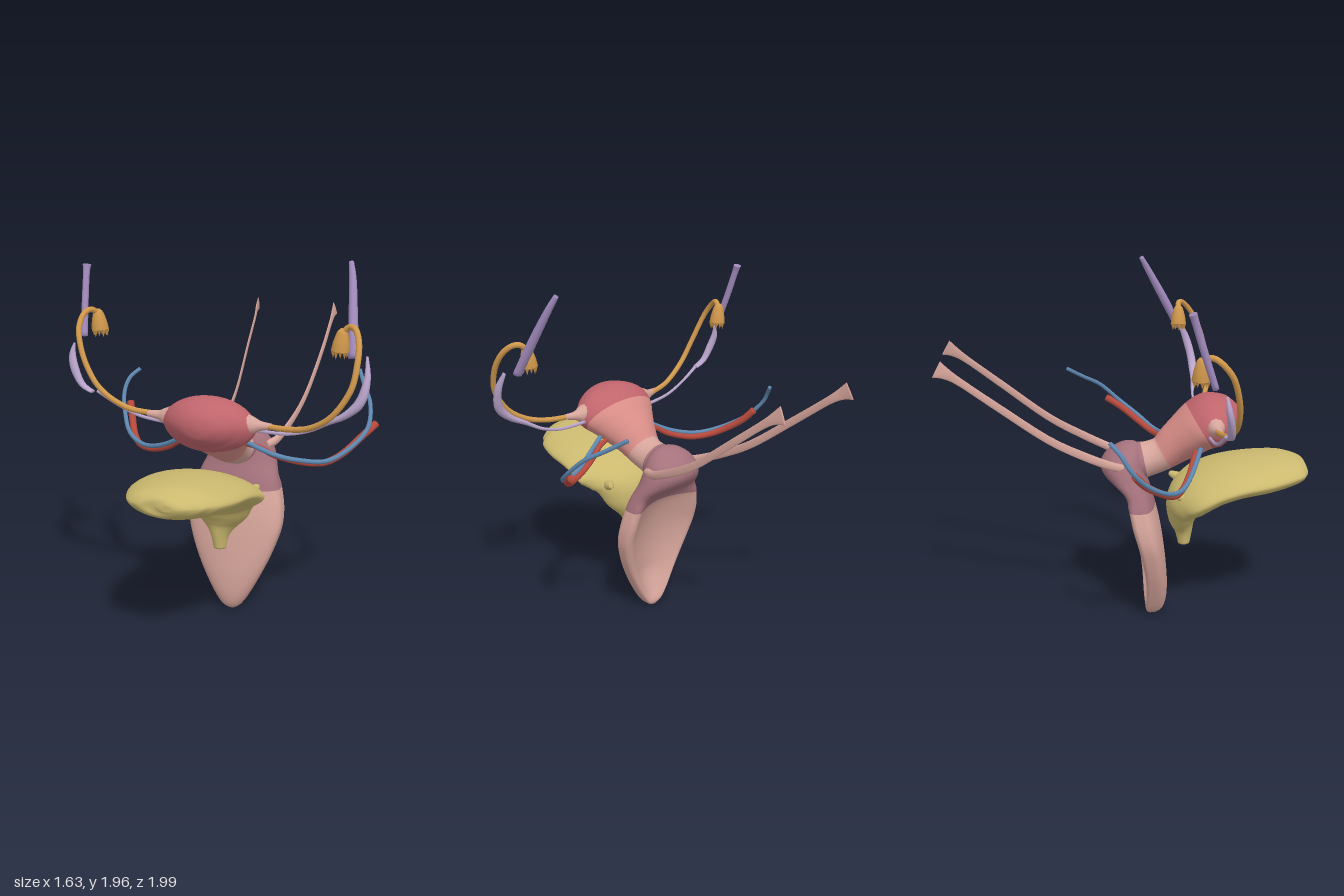
import * as THREE from 'three';

const mat = (name, color, side = THREE.FrontSide) =>
  Object.assign(new THREE.MeshStandardMaterial({ color, side }), { name });

const V = (x, y, z) => new THREE.Vector3(x, y, z);
const signedPow = (v, p) => Math.sign(v) * Math.abs(v) ** p;

// Catmull-Rom interpolation of rows of numbers; u counts rows
function spline(rows, u) {
  const last = rows.length - 1;
  const i = Math.min(Math.floor(u), last - 1), t = u - i;
  const [a, b, c, d] = [i - 1, i, i + 1, i + 2].map(k => rows[Math.max(0, Math.min(last, k))]);
  return b.map((_, k) => b[k] + 0.5 * t * (c[k] - a[k] + t * (2 * a[k] - 5 * b[k] + 4 * c[k] - d[k]
    + t * (3 * (b[k] - c[k]) + d[k] - a[k]))));
}

// Closed skin over rings of points; cuts are ring numbers where the next material starts
function skin(name, rings, mats, cuts = []) {
  const n = rings[0].length;
  const collapse = ring => {
    const mid = ring.reduce((s, p) => s.add(p), V(0, 0, 0)).divideScalar(n);
    return ring.map(() => mid);
  };
  const all = [collapse(rings[0]), ...rings, collapse(rings[rings.length - 1])];
  const index = [];
  for (let i = 0; i < all.length - 1; i++) {
    for (let j = 0; j < n; j++) {
      const k = (j + 1) % n, a = i * n, b = a + n;
      index.push(a + j, a + k, b + j, a + k, b + k, b + j);
    }
  }
  const geo = new THREE.BufferGeometry().setFromPoints(all.flat());
  geo.setIndex(index);
  geo.computeVertexNormals();
  const ends = [0, ...cuts.map(c => c + 1), all.length - 1];
  mats.forEach((m, i) => geo.addGroup(ends[i] * n * 6, (ends[i + 1] - ends[i]) * n * 6, i));
  const mesh = new THREE.Mesh(geo, mats.length > 1 ? mats : mats[0]);
  mesh.name = name;
  return mesh;
}

// Sweep through rows [x, y, z, sideRadius, normalRadius]; pinch above 1 sharpens the side edges
function sweep(name, rows, mats, { cuts = [], side = V(1, 0, 0), steps = 6, segs = 12, pinch = 1 } = {}) {
  const rings = [], count = (rows.length - 1) * steps, s = side.clone();
  const at = u => V(...spline(rows, Math.max(0, Math.min(rows.length - 1, u))));
  for (let i = 0; i <= count; i++) {
    const u = i / steps, row = spline(rows, u), c = V(...row);
    const t = at(u + 0.05).sub(at(u - 0.05)).normalize();
    s.addScaledVector(t, -s.dot(t)).normalize();
    const n = t.clone().cross(s);
    const ring = [];
    for (let j = 0; j < segs; j++) {
      const a = j / segs * Math.PI * 2;
      ring.push(c.clone()
        .addScaledVector(s, Math.max(row[3], 0.0005) * Math.cos(a))
        .addScaledVector(n, Math.max(row[4], 0.0005) * signedPow(Math.sin(a), pinch)));
    }
    rings.push(ring);
  }
  return skin(name, rings, mats, cuts.map(c => Math.round(c * steps)));
}

// Round tube whose radius runs from r0 to r1
const tube = (name, pts, r0, r1, m) => sweep(name, pts.map((p, i) => {
  const r = r0 + (r1 - r0) * i / (pts.length - 1);
  return [...p, r, r];
}), [m], { side: V(0.1, 0.9, 0.4), segs: 10 });

export function createModel() {
  const group = new THREE.Group();
  group.name = 'pelvicOrgans';
  const add = (...m) => group.add(...m);
  const rose = mat('deep rose', 0xc0656c), coral = mat('coral pink', 0xd88d87);
  const pale = mat('pale pink', 0xd6a59b, THREE.DoubleSide), mauve = mat('mauve', 0xa5727c);
  const yellow = mat('olive yellow', 0xcbb96f), tan = mat('amber', 0xd0984c);
  const purple = mat('purple', 0xa18abb), lilac = mat('lilac', 0xb9a4cb);
  const red = mat('brick red', 0xb5493d), blue = mat('steel blue', 0x5e87af);

  // Womb: broad rounded top narrowing backwards into the neck
  add(sweep('womb', [
    [0, 1.165, 0.632, 0.02, 0.015], [0, 1.165, 0.618, 0.085, 0.06], [0, 1.165, 0.58, 0.155, 0.1],
    [0, 1.163, 0.53, 0.215, 0.128], [0, 1.15, 0.47, 0.25, 0.143], [0, 1.12, 0.41, 0.235, 0.135],
    [0, 1.075, 0.35, 0.19, 0.125], [0, 1.02, 0.28, 0.14, 0.112], [0, 0.965, 0.21, 0.108, 0.095],
    [0, 0.935, 0.13, 0.1, 0.097], [0, 0.92, 0.05, 0.12, 0.105], [0, 0.91, -0.03, 0.11, 0.09],
  ], [rose, coral, pale, mauve], { cuts: [5, 8, 9.3], segs: 40, pinch: 1.1 }));

  // Canal: scooped shell open at the back, rows [y, halfWidth, frontZ, backZ, scoop]
  const canal = [
    [0, 0.025, 0.185, 0.13, 0], [0.03, 0.06, 0.218, 0.112, 0.01], [0.1, 0.105, 0.237, 0.102, 0.05],
    [0.2, 0.158, 0.24, 0.097, 0.085], [0.3, 0.205, 0.233, 0.085, 0.095], [0.4, 0.243, 0.222, 0.065, 0.105],
    [0.5, 0.269, 0.208, 0.04, 0.11], [0.6, 0.267, 0.19, 0.01, 0.11], [0.7, 0.245, 0.165, -0.01, 0.085],
    [0.77, 0.222, 0.145, -0.03, 0.035], [0.84, 0.197, 0.122, -0.1, 0], [0.905, 0.175, 0.11, -0.135, 0],
    [0.97, 0.14, 0.1, -0.105, 0], [1.015, 0.085, 0.08, -0.04, 0], [1.035, 0.02, 0.05, 0.01, 0],
  ];
  const rings = [];
  for (let i = 0; i <= (canal.length - 1) * 4; i++) {
    const [y, w, front, back, scoop] = spline(canal, i / 4);
    // Thick rounded rims below, round dome above
    const square = Math.min(1, 0.32 + Math.max(0, y - 0.72) * 4);
    const ring = [];
    for (let j = 0; j < 64; j++) {
      const a = j / 64 * Math.PI * 2, s = Math.sin(a), c = Math.cos(a);
      let z = (front + back) / 2 - (front - back) / 2 * signedPow(s, s > 0 ? square : 0.9);
      if (s > 0) z += scoop * Math.max(0, 1 - (c / 0.85) ** 2);
      ring.push(V(w * c, y, z));
    }
    rings.push(ring);
  }
  add(skin('canal', rings, [pale, mauve], [32]));

  // Bladder: slightly lopsided sack with sharp flanks, bending down into a funnel outlet
  add(sweep('bladder', [
    [0, 0.88, 1, 0.03, 0.015], [0, 0.88, 0.985, 0.11, 0.045], [-0.005, 0.877, 0.95, 0.175, 0.066],
    [-0.015, 0.872, 0.88, 0.235, 0.085], [-0.022, 0.857, 0.75, 0.285, 0.095], [-0.025, 0.837, 0.6, 0.305, 0.096],
    [-0.024, 0.806, 0.49, 0.312, 0.098], [-0.02, 0.762, 0.405, 0.308, 0.104], [-0.01, 0.71, 0.35, 0.25, 0.109],
    [0, 0.645, 0.328, 0.18, 0.097], [0, 0.575, 0.322, 0.115, 0.075], [0, 0.505, 0.332, 0.055, 0.05],
    [0, 0.425, 0.335, 0.035, 0.033],
  ], [yellow], { segs: 40, pinch: 1.25 }));

  for (const s of [1, -1]) {
    const side = s > 0 ? 'left' : 'right';
    // Horn joining the womb to the egg tube, and a small stub on the bladder
    add(sweep(side + 'Horn', [[s * 0.19, 1.165, 0.465, 0.062, 0.062], [s * 0.24, 1.165, 0.465, 0.043, 0.043],
      [s * 0.28, 1.167, 0.467, 0.025, 0.025], [s * 0.34, 1.172, 0.475, 0.015, 0.015]], [pale], { side: V(0, 1, 0) }));
    add(tube(side + 'BladderStub', [[s * 0.17, 0.76, 0.32], [s * 0.185, 0.77, 0.29], [s * 0.195, 0.775, 0.27]], 0.03, 0.013, yellow));

    // Egg tube ending in a fringed bell
    const path = s > 0
      ? [[0.3, 1.17, 0.47], [0.44, 1.175, 0.5], [0.56, 1.205, 0.53], [0.67, 1.28, 0.548], [0.75, 1.405, 0.535],
        [0.768, 1.52, 0.5], [0.76, 1.61, 0.45], [0.73, 1.665, 0.4], [0.69, 1.672, 0.37], [0.655, 1.64, 0.365]]
      : [[-0.3, 1.17, 0.46], [-0.45, 1.195, 0.49], [-0.59, 1.285, 0.51], [-0.68, 1.42, 0.5], [-0.733, 1.56, 0.46],
        [-0.74, 1.64, 0.4], [-0.72, 1.665, 0.35], [-0.7, 1.64, 0.31]];
    add(tube(side + 'EggTube', path, 0.0145, 0.0155, tan));
    const [bx, by, bz] = path[path.length - 1];
    const bell = new THREE.Group();
    bell.name = side + 'FringedBell';
    bell.position.set(bx, by, bz);
    bell.add(sweep('bell', [[0, 0.022, 0, 0.012, 0.012], [0, 0.005, 0, 0.026, 0.026],
      [-s * 0.005, -0.045, 0, 0.04, 0.04], [-s * 0.01, -0.09, 0, 0.046, 0.046]], [tan]));
    for (let i = 0; i < 10; i++) {
      const a = i / 10 * Math.PI * 2;
      const tip = new THREE.Mesh(new THREE.ConeGeometry(0.011, 0.036, 6), tan);
      tip.name = 'fringe';
      tip.rotation.x = Math.PI;
      tip.position.set(-s * 0.01 + 0.035 * Math.cos(a), -0.1 - 0.006 * (i % 2), 0.035 * Math.sin(a));
      bell.add(tip);
    }
    add(bell);

    // Upper purple cord
    add(sweep(side + 'UpperCord', s > 0
      ? [[0.625, 1.95, 0.14, 0.013, 0.013], [0.65, 1.86, 0.19, 0.019, 0.019], [0.685, 1.68, 0.29, 0.024, 0.024], [0.715, 1.525, 0.37, 0.028, 0.02]]
      : [[-0.79, 1.885, 0.25, 0.024, 0.02], [-0.787, 1.84, 0.265, 0.018, 0.018], [-0.775, 1.7, 0.31, 0.018, 0.018], [-0.755, 1.525, 0.37, 0.02, 0.016]],
    [purple]));

    // Thin lilac band widening into a curved blade
    add(sweep(side + 'LilacBand', s > 0
      ? [[0.24, 1.13, 0.43, 0.008, 0.01], [0.4, 1.13, 0.435, 0.007, 0.009], [0.52, 1.16, 0.44, 0.008, 0.009],
        [0.62, 1.215, 0.455, 0.014, 0.012], [0.71, 1.265, 0.465, 0.023, 0.018], [0.778, 1.335, 0.46, 0.024, 0.024],
        [0.8, 1.44, 0.43, 0.022, 0.017], [0.785, 1.54, 0.385, 0.01, 0.006]]
      : [[-0.24, 1.12, 0.43, 0.008, 0.01], [-0.4, 1.14, 0.435, 0.007, 0.009], [-0.53, 1.19, 0.44, 0.007, 0.009],
        [-0.645, 1.255, 0.445, 0.01, 0.01]], [lilac], { side: V(0, 0, 1) }));
    if (s < 0) add(sweep('rightLilacBlade', [[-0.665, 1.25, 0.46, 0.02, 0.008], [-0.73, 1.285, 0.455, 0.02, 0.016],
      [-0.775, 1.36, 0.445, 0.018, 0.024], [-0.795, 1.43, 0.43, 0.015, 0.02], [-0.785, 1.495, 0.42, 0.006, 0.005]],
    [lilac], { side: V(0, 0, 1) }));

    // Red and blue vessels running side by side
    add(tube(side + 'RedVessel', s > 0
      ? [[0.14, 1.03, 0.35], [0.22, 1.01, 0.33], [0.3, 0.965, 0.3], [0.42, 0.93, 0.25], [0.53, 0.925, 0.2],
        [0.61, 0.965, 0.13], [0.68, 1.035, 0.03], [0.73, 1.085, -0.06]]
      : [[-0.14, 1.03, 0.38], [-0.22, 1, 0.35], [-0.3, 0.95, 0.32], [-0.42, 0.91, 0.27], [-0.52, 0.91, 0.22],
        [-0.59, 0.945, 0.15], [-0.65, 1.01, 0.06], [-0.69, 1.08, 0]], 0.014, 0.021, red));
    add(tube(side + 'BlueVessel', s > 0
      ? [[0.16, 1.05, 0.38], [0.3, 0.98, 0.33], [0.42, 0.945, 0.27], [0.55, 0.94, 0.21], [0.65, 1, 0.12],
        [0.705, 1.08, 0.01], [0.685, 1.18, -0.1], [0.62, 1.25, -0.21], [0.57, 1.31, -0.3]]
      : [[-0.16, 1.05, 0.4], [-0.33, 0.96, 0.33], [-0.48, 0.925, 0.26], [-0.61, 0.955, 0.17], [-0.695, 1.03, 0.06],
        [-0.74, 1.12, -0.02], [-0.73, 1.2, -0.07], [-0.685, 1.25, -0.12]], 0.013, 0.011, blue));

    // Flat ligament reaching up and back to a flared end
    const x = s > 0 ? [0.14, 0.18, 0.212, 0.228, 0.235, 0.23, 0.226, 0.224] : [-0.12, -0.155, -0.18, -0.2, -0.235, -0.258, -0.272, -0.276];
    add(sweep(side + 'BackLigament', [
      [x[0], 0.925, 0.02, 0.028, 0.025], [x[1], 0.94, -0.06, 0.016, 0.024], [x[2], 1.015, -0.23, 0.006, 0.023],
      [x[3], 1.12, -0.42, 0.005, 0.021], [x[4], 1.31, -0.67, 0.005, 0.02], [x[5], 1.45, -0.85, 0.005, 0.02],
      [x[6], 1.5, -0.92, 0.005, 0.03], [x[7], 1.525, -0.965, 0.004, 0.047]], [pale]));
  }
  return group;
}
